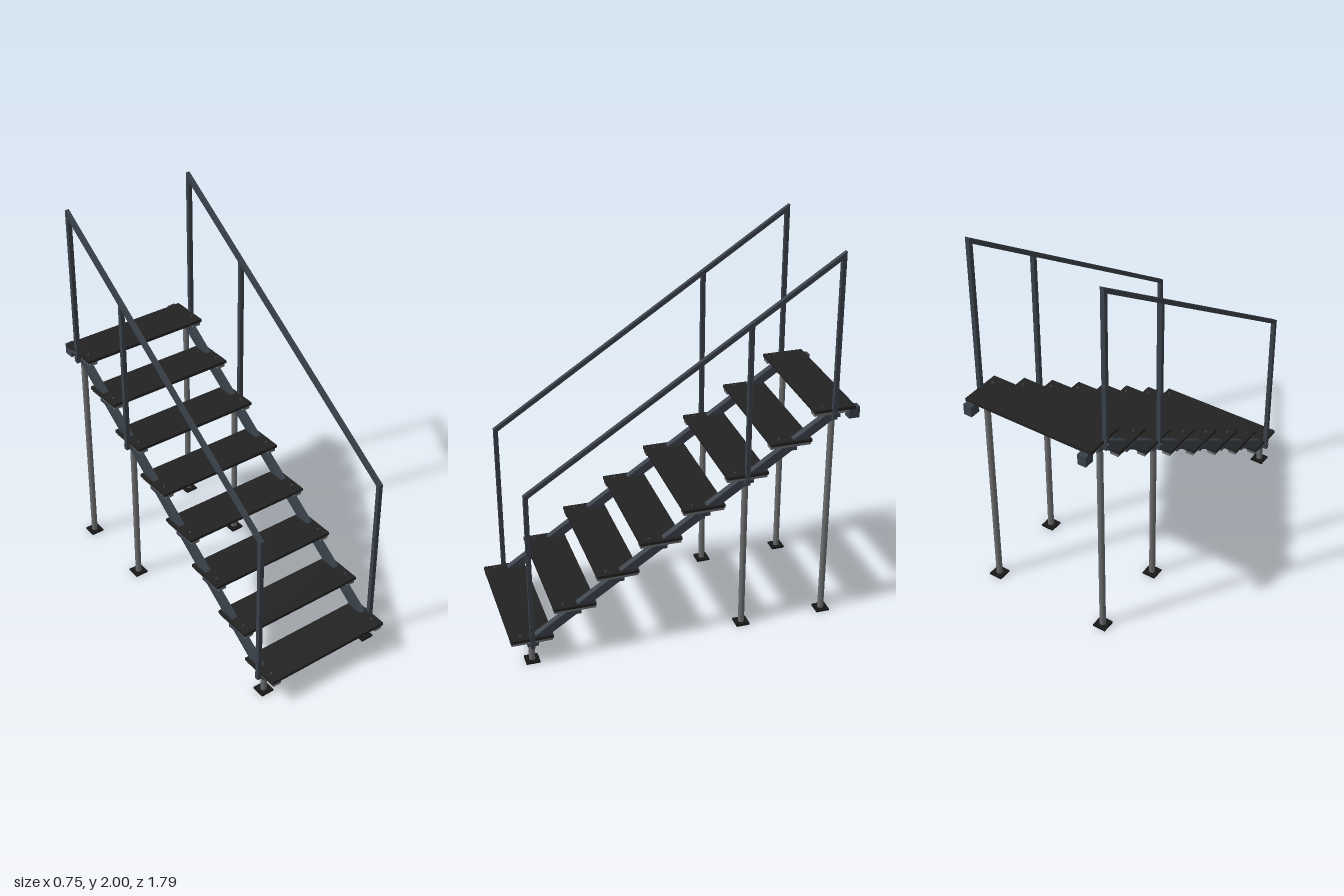
import * as THREE from 'three';

export function createModel() {
  const model = new THREE.Group();
  model.name = 'staircase';
  const mat = (name, color) => {
    const m = new THREE.MeshStandardMaterial({ color });
    m.name = name;
    return m;
  };
  const treadBlack = mat('treadBlack', 0x222222);
  const steelBlue = mat('steelBlue', 0x3a414a);
  const postGrey = mat('postGrey', 0x6b6c6e);
  const footBlack = mat('footBlack', 0x161616);

  const add = (name, geo, material, x, y, z) => {
    const mesh = new THREE.Mesh(geo, material);
    mesh.name = name;
    mesh.position.set(x, y, z);
    model.add(mesh);
    return mesh;
  };
  const box = (name, w, h, d, material, x, y, z) =>
    add(name, new THREE.BoxGeometry(w, h, d), material, x, y, z);

  // Sloped bar with plumb-cut ends: a box sheared in y along z
  const slopedBar = (name, w, h, z0, y0, z1, y1, material, x) => {
    const geo = new THREE.BoxGeometry(w, h, Math.abs(z1 - z0));
    const slope = (y1 - y0) / (z1 - z0);
    const p = geo.attributes.position;
    for (let i = 0; i < p.count; i++) p.setY(i, p.getY(i) + slope * p.getZ(i));
    geo.computeVertexNormals();
    return add(name, geo, material, x, (y0 + y1) / 2, (z0 + z1) / 2);
  };

  const steps = 8, run = 0.2215, rise = 0.148;
  const firstZ = 0.79, lastZ = -0.757, midZ = -0.314;
  const slope = rise / run;
  const stringerY = z => 0.112 + (firstZ - z) * slope;
  const railY = z => 0.953 + (firstZ - z) * 0.6615;

  // Treads
  for (let i = 0; i < steps; i++) {
    box('tread', 0.712, 0.016, 0.215, treadBlack, 0, 0.141 + i * rise, 0.789 - i * run);
  }

  for (const s of [-1, 1]) {
    const x = s * 0.324, railX = s * 0.358;

    // Stringer, running up through the treads
    slopedBar('stringer', 0.034, 0.054, firstZ, stringerY(firstZ), lastZ - 0.008, stringerY(lastZ - 0.008), steelBlue, x);

    // Tread supports, saddles and bolts
    for (let i = 0; i < steps; i++) {
      const y = i * rise, z = 0.789 - i * run;
      box('treadBracket', 0.045, 0.018, 0.21, postGrey, x, 0.124 + y, z);
      box('saddle', 0.044, 0.02, 0.056, steelBlue, x, 0.105 + y, z - 0.005);
      add('treadBolt', new THREE.CylinderGeometry(0.006, 0.006, 0.008, 10), steelBlue, x, 0.152 + y, z + 0.056);
    }

    // Support legs with foot plates
    for (const z of [firstZ, midZ, lastZ]) {
      const top = stringerY(z);
      add('supportLeg', new THREE.CylinderGeometry(0.016, 0.016, top, 16), postGrey, x, top / 2, z);
      box('footPlate', 0.07, 0.01, 0.07, footBlack, x, 0.005, z);
    }

    // Handrail and its uprights
    for (const z of [firstZ, midZ, lastZ]) {
      const bottom = stringerY(z) - 0.014, top = railY(z);
      box('railPost', 0.022, top - bottom, 0.022, steelBlue, railX, bottom + (top - bottom) / 2, z);
      const bolt = add('railBolt', new THREE.CylinderGeometry(0.006, 0.006, 0.008, 10), steelBlue, s * 0.371, bottom + 0.03, z);
      bolt.rotation.z = Math.PI / 2;
    }
    slopedBar('handrail', 0.022, 0.026, firstZ + 0.011, railY(firstZ + 0.011), lastZ - 0.011, railY(lastZ - 0.011), steelBlue, railX);

    // Rear mounting hook behind the top tread
    box('rearArm', 0.04, 0.018, 0.06, postGrey, x, 1.16, -0.85);
    box('rearHook', 0.046, 0.058, 0.056, steelBlue, x, 1.143, -0.868);
    add('hookBolt', new THREE.CylinderGeometry(0.006, 0.006, 0.008, 10), steelBlue, x, 1.175, -0.884);
  }
  return model;
}
